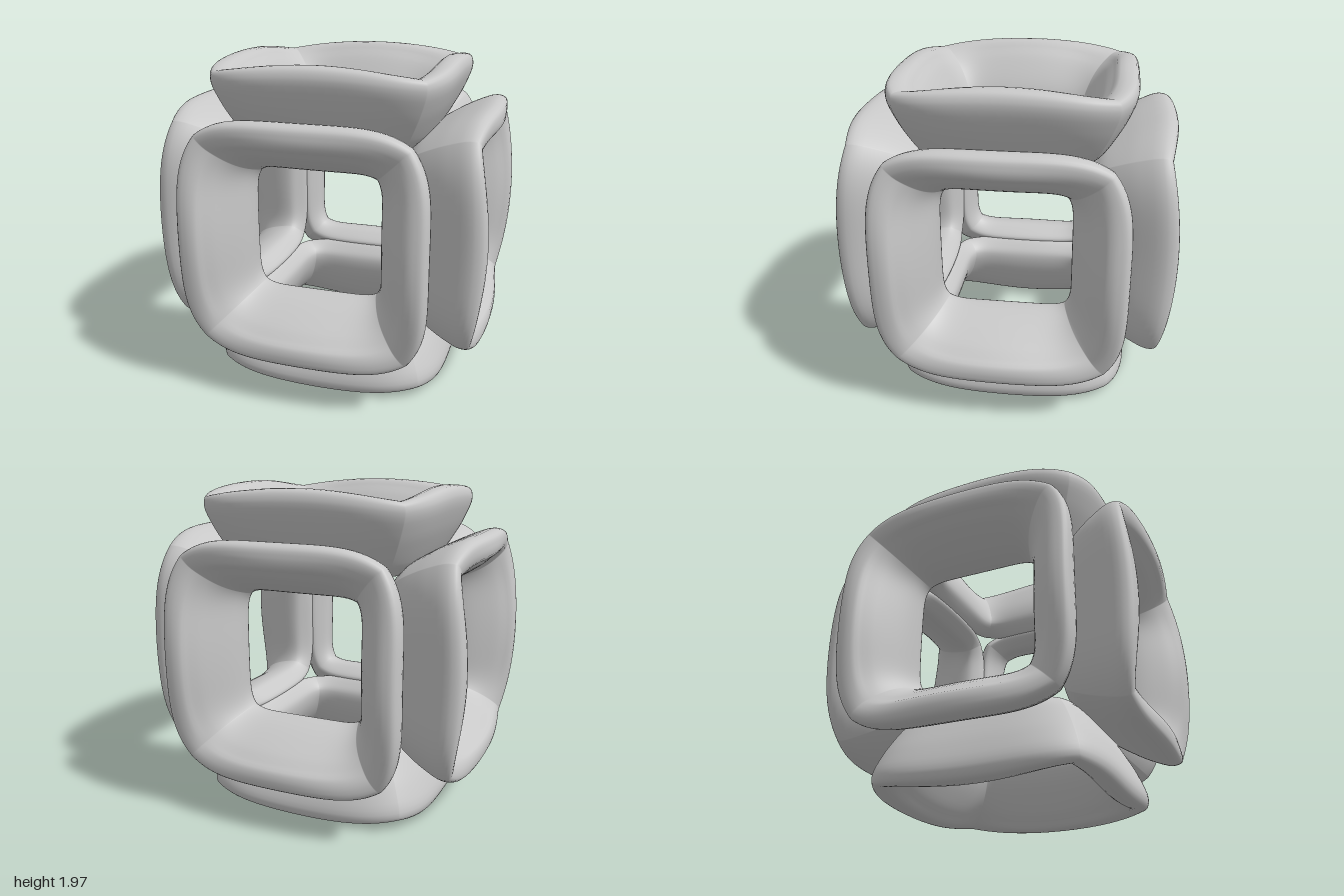
import * as THREE from 'three';
import { mergeGeometries, mergeVertices } from 'three/addons/utils/BufferGeometryUtils.js';

// Closed cross-section of a ring: [distance from axis, height along axis] at the
// middle of a side, the same two at the corner, and how late the corner turns.
// The last points touch the neighbouring ring at mid-side and part at the corners.
const SECTION = [
  [0.391, 0.585, 0.355, 0.565, 8],
  [0.412, 0.70, 0.375, 0.67, 7],
  [0.480, 0.835, 0.425, 0.79, 6],
  [0.560, 0.945, 0.485, 0.87, 5],
  [0.640, 0.998, 0.555, 0.923, 4.5],
  [0.705, 0.985, 0.605, 0.92, 4.5],
  [0.728, 0.92, 0.615, 0.865, 4.5],
  [0.685, 0.78, 0.580, 0.745, 4.5],
  [0.620, 0.65, 0.535, 0.64, 4.5],
  [0.565, 0.557, 0.490, 0.555, 4.5],
  [0.520, 0.512, 0.460, 0.515, 5],
  [0.475, 0.468, 0.425, 0.485, 6],
  [0.422, 0.518, 0.380, 0.515, 7],
];
const ALONG = 32, AROUND = 52, QUARTER = Math.PI / 2;

// One side of a flared square ring facing +z, on the +y side of the opening.
// bulge scales the middle of the side, widen moves the whole side outwards.
function ringSide(bulge, widen) {
  const middle = new THREE.CatmullRomCurve3(
    SECTION.map((p) => new THREE.Vector3(p[0] * bulge + widen, p[1] * bulge, p[4])), true);
  const corner = new THREE.CatmullRomCurve3(
    SECTION.map((p) => new THREE.Vector3(p[2] + widen, p[3], 0)), true);
  const positions = [], index = [];
  for (let j = 0; j <= AROUND; j++) {
    const m = middle.getPoint(j / AROUND), c = corner.getPoint(j / AROUND);
    for (let i = 0; i <= ALONG; i++) {
      const t = Math.sin((i / ALONG - 0.5) * Math.PI);
      positions.push(
        c.x * t,
        THREE.MathUtils.lerp(m.x, c.x, Math.abs(t) ** m.z),
        THREE.MathUtils.lerp(m.y, c.y, t * t));
      if (i < ALONG && j < AROUND) {
        const a = j * (ALONG + 1) + i, b = a + ALONG + 1;
        index.push(a, a + 1, b, a + 1, b + 1, b);
      }
    }
  }
  const geometry = new THREE.BufferGeometry();
  geometry.setAttribute('position', new THREE.Float32BufferAttribute(positions, 3));
  geometry.setIndex(index);
  return geometry;
}

// Four sides welded into a smooth ring, top side first
function makeRing(sides) {
  const ring = mergeVertices(
    mergeGeometries(sides.map((side, k) => side.clone().rotateZ(k * QUARTER))), 1e-4);
  ring.computeVertexNormals();
  return ring;
}

export function createModel() {
  const model = new THREE.Group();
  model.name = 'openCubeFrame';
  const grey = new THREE.MeshStandardMaterial({ color: 0xc8c8c8 });
  grey.name = 'lightGrey';

  const addRing = (name, geometry, rx, ry) => {
    const mesh = new THREE.Mesh(geometry, grey);
    mesh.name = name;
    mesh.rotation.set(rx, ry, 0);
    mesh.position.y = 0.995;
    model.add(mesh);
  };

  // Upright rings: horizontal sides are a little lower than the vertical ones
  const level = ringSide(0.982, 0), upright = ringSide(1, 0);
  const wallRing = makeRing([level, upright, level, upright]);
  ['frontRing', 'leftRing', 'backRing', 'rightRing'].forEach(
    (name, k) => addRing(name, wallRing, 0, k * QUARTER));

  // Top and bottom rings with a slightly wider opening
  const cap = ringSide(0.987, 0.015);
  const capRing = makeRing([cap, cap, cap, cap]);
  addRing('topRing', capRing, -QUARTER, 0);
  addRing('bottomRing', capRing, QUARTER, 0);
  return model;
}
